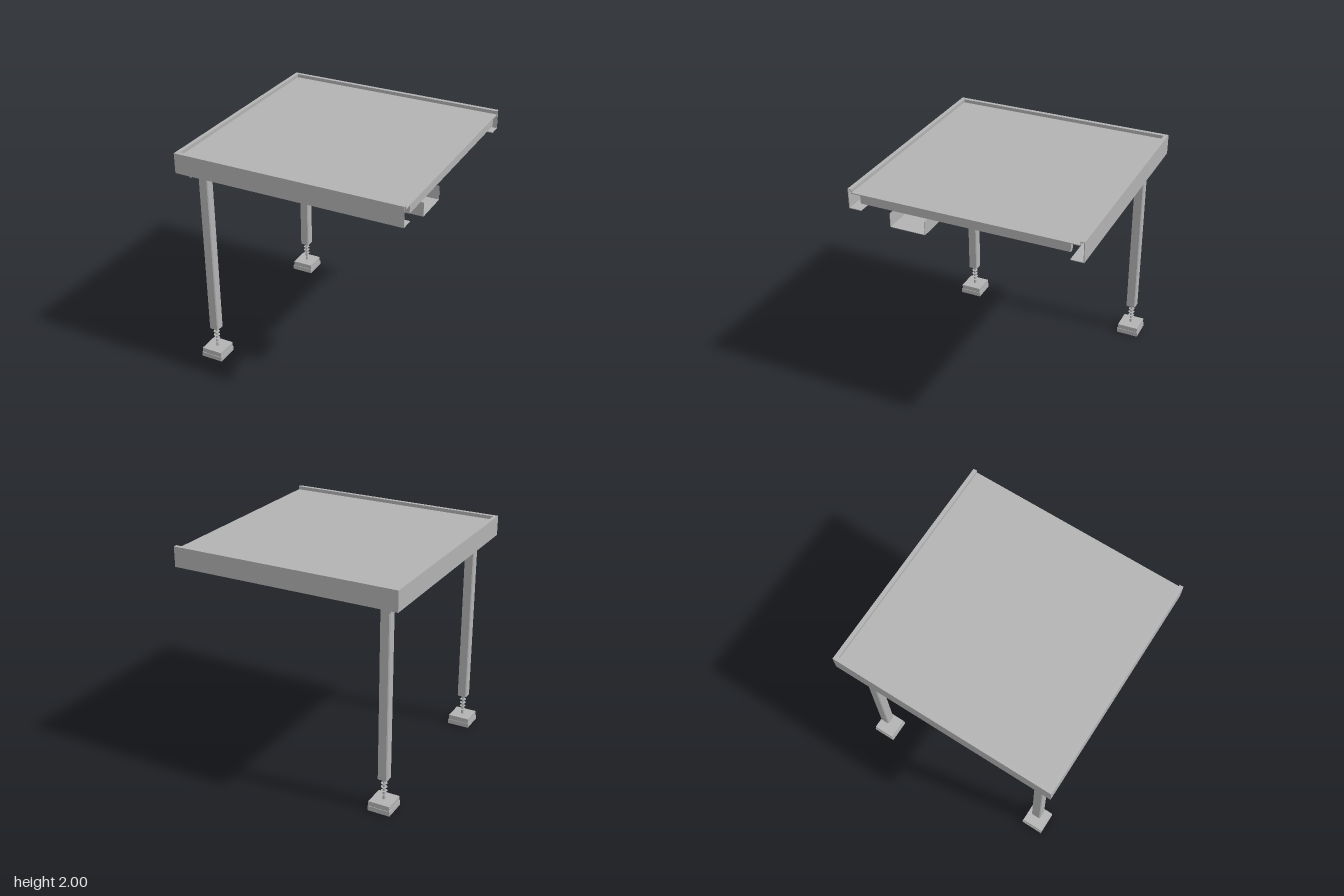
import * as THREE from 'three';

export function createModel() {
  const model = new THREE.Group();
  model.name = 'levellingTable';

  const metal = new THREE.MeshStandardMaterial({ color: 0xb2b2b2, side: THREE.DoubleSide });
  metal.name = 'greyMetal';

  const add = (parent, name, geometry, x = 0, y = 0, z = 0) => {
    const mesh = new THREE.Mesh(geometry, metal);
    mesh.name = name;
    mesh.position.set(x, y, z);
    parent.add(mesh);
    return mesh;
  };
  // Box given by its extents along each axis
  const box = (parent, name, x0, x1, y0, y1, z0, z1) =>
    add(parent, name, new THREE.BoxGeometry(x1 - x0, y1 - y0, z1 - z0),
      (x0 + x1) / 2, (y0 + y1) / 2, (z0 + z1) / 2);
  // Square tube section with chamfered corners, standing upright
  const post = (size, chamfer, height) => {
    const h = size / 2, c = h - chamfer;
    const shape = new THREE.Shape([[-c, -h], [c, -h], [h, -c], [h, c], [c, h], [-c, h], [-h, c], [-h, -c]]
      .map(([x, y]) => new THREE.Vector2(x, y)));
    return new THREE.ExtrudeGeometry(shape, { depth: height, bevelEnabled: false }).rotateX(-Math.PI / 2);
  };

  // Table panel, set just below the rim
  box(model, 'panel', -0.965, 1, 1.962, 1.97, -0.965, 0.965);

  // Rim: channel-section rails on three sides, open on the fourth
  const T = 0.006;
  const rim = new THREE.Group();
  rim.name = 'rim';
  model.add(rim);
  for (const s of [1, -1]) {
    const span = (name, y0, y1, a, b) =>
      box(rim, name, -1, 1, y0, y1, Math.min(a * s, b * s), Math.max(a * s, b * s));
    span('sideRailWall', 1.825, 2, 1 - T, 1);
    span('sideRailTop', 2 - T, 2, 0.965, 1);
    span('sideRailLip', 1.965, 2, 0.965, 0.965 + T);
    span('sideRailFlange', 1.825, 1.825 + T, 0.89, 1);
  }
  box(rim, 'endRailWall', -1, -1 + T, 1.825, 2, -1, 1);
  box(rim, 'endRailTop', -1, -0.965, 2 - T, 2, -1, 1);
  box(rim, 'endRailLip', -0.965 - T, -0.965, 1.965, 2, -0.965, 0.965);
  box(rim, 'endRailFlange', -1, -0.89, 1.825, 1.825 + T, -1, 1);

  // Cross beams below the panel
  for (const x of [0.06, 0.975]) {
    box(model, 'crossBeam', x - 0.02, x + 0.02, 1.89, 1.965, -0.89, 0.89);
  }

  // Open cable tray, a thin U along x
  const tray = new THREE.Group();
  tray.name = 'cableTray';
  model.add(tray);
  box(tray, 'trayFloor', -0.28, 1, 1.74, 1.744, 0.32, 0.63);
  box(tray, 'trayInnerWall', -0.28, 1, 1.74, 1.86, 0.32, 0.324);
  box(tray, 'trayOuterWall', -0.28, 1, 1.74, 1.86, 0.626, 0.63);

  // Two legs with sockets, corner braces and levelling feet
  for (const s of [1, -1]) {
    const leg = new THREE.Group();
    leg.name = s > 0 ? 'frontLeg' : 'backLeg';
    leg.position.set(-0.832, 0, 0.83 * s);
    model.add(leg);

    add(leg, 'legTube', post(0.085, 0.008, 1.53), 0, 0.28, 0);
    box(leg, 'legCollar', -0.05, 0.05, 1.8, 1.825, -0.045, 0.045);
    box(leg, 'socketPlate', -0.065, 0.065, 1.825, 1.84, -0.068, 0.068);
    box(leg, 'socket', -0.058, 0.058, 1.84, 1.965, -0.058, 0.058);
    const brace = box(leg, 'cornerBrace', -0.15, 0.15, 1.828, 1.838, -0.02, 0.02);
    brace.rotation.y = s * Math.PI / 4;
    box(leg, 'latchPlate', -0.08, -0.06, 1.78, 1.825, -0.11, 0.11);

    // Threaded spindle
    add(leg, 'spindle', new THREE.CylinderGeometry(0.012, 0.012, 0.21, 12), 0, 0.18, 0);
    for (let i = 0; i < 4; i++) {
      add(leg, 'threadRing', new THREE.CircleGeometry(0.028, 12).rotateX(-Math.PI / 2), 0, 0.13 + i * 0.035, 0);
    }

    // Two-layer foot
    box(leg, 'footBase', -0.1, 0.1, 0, 0.042, -0.1, 0.1);
    box(leg, 'footTop', -0.095, 0.095, 0.042, 0.085, -0.095, 0.095);
  }

  return model;
}
